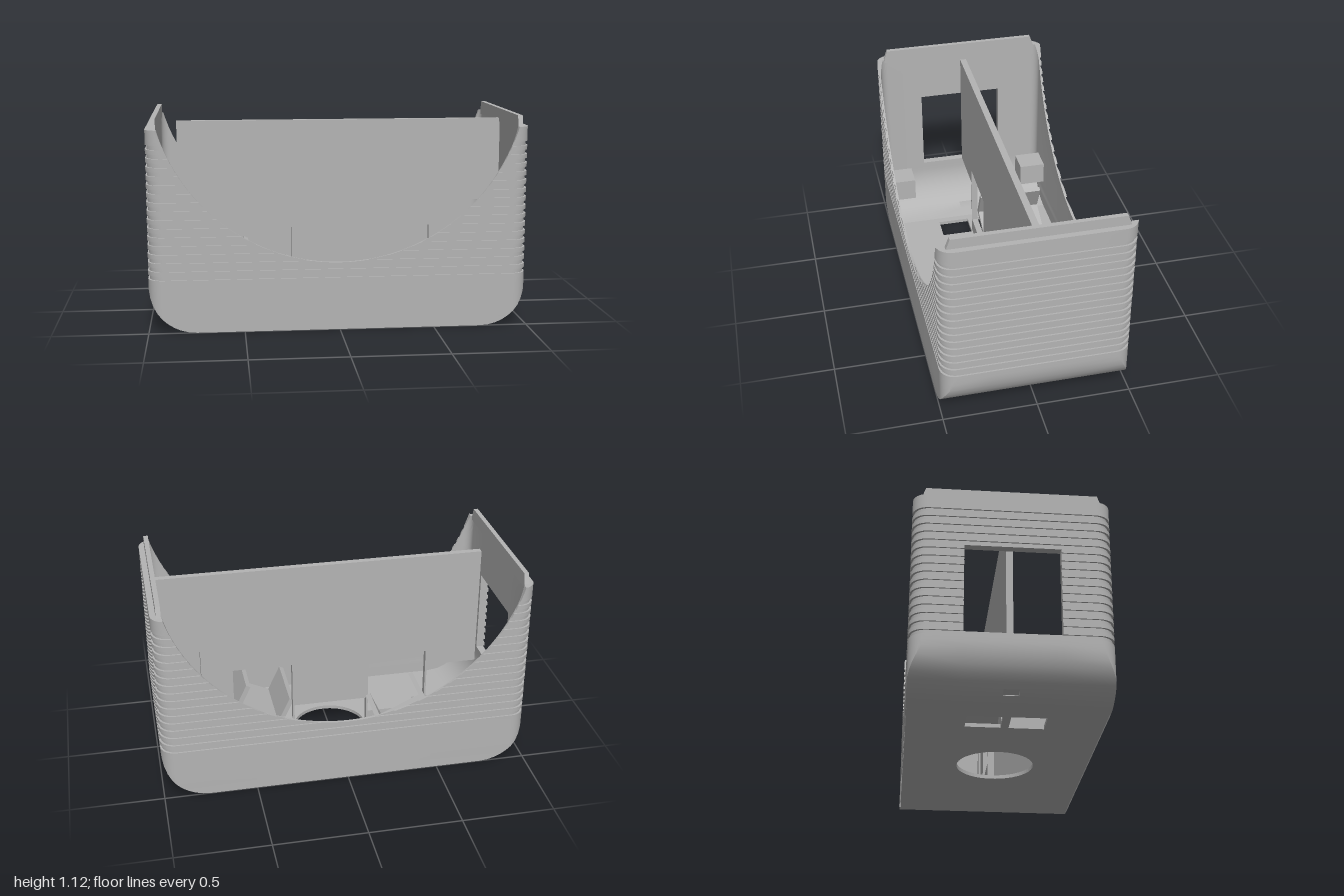
import * as THREE from 'three';
import { toCreasedNormals } from 'three/addons/utils/BufferGeometryUtils.js';

const grey = new THREE.MeshStandardMaterial({ color: 0xb4b4b4, side: THREE.DoubleSide });
grey.name = 'grey plastic';

function add(parent, name, geometry) {
  const mesh = new THREE.Mesh(geometry, grey);
  mesh.name = name;
  parent.add(mesh);
  return mesh;
}

const FLOOR = 0.02, RIM = 1.06, ARC_Y = 1.34, ARC_R = 0.98;
const arcX = y => (y <= ARC_Y - ARC_R ? 0 : Math.sqrt(ARC_R ** 2 - (ARC_Y - y) ** 2));

// Heights of the wall sections, each with its groove depth
function wallLevels() {
  const levels = [];
  for (const y of [0, 0.004, 0.015, 0.03, 0.05, 0.075, 0.105, 0.14, 0.18, 0.22, 0.25]) levels.push([y, 0]);
  const pitch = 0.0453, dips = [0.36, 0.3606, 0.362, 0.365, 0.37, 0.377, 0.385, 0.395];
  for (let k = 0; k < 16; k++) {
    const y0 = 0.28 + k * pitch, y1 = y0 + pitch / 2, y2 = y0 + pitch;
    const between = (a, b) => dips.filter(y => y > a && y < b);
    levels.push([y0, 0], [y0, 0.008]);
    between(y0, y1).forEach(y => levels.push([y, 0.008]));
    levels.push([y1, 0.008], [y1, 0]);
    between(y1, y2).forEach(y => levels.push([y, 0]));
  }
  levels.push([1.005, 0], [1.035, 0], [RIM, 0]);
  return levels;
}

// Half outline at one height: front arc edge, corner, side, corner, back arc edge
const SIDE_Z = [0.24, 0.04, -0.04, -0.24];
function section(y, sideX, halfZ, corner, bendR, bendY) {
  const dy = Math.max(0, bendY - y);
  const hx = sideX - bendR + Math.sqrt(Math.max(0, bendR ** 2 - dy ** 2));
  const c = sideX - corner, a = Math.min(arcX(y), hx);
  const zAt = x => halfZ - corner + Math.sqrt(Math.max(0, corner ** 2 - Math.max(0, x - c) ** 2));
  const xs = [a, Math.min(hx, Math.max(a, c))];
  const t0 = a > c ? Math.asin(Math.min(1, (a - c) / corner)) : 0;
  for (let i = 1; i <= 8; i++) {
    const t = t0 + (Math.PI / 2 - t0) * i / 8;
    xs.push(Math.min(hx, c + corner * Math.sin(t)));
  }
  const front = xs.map(x => [x, y, zAt(x)]);
  const back = front.map(([x, h, z]) => [x, h, -z]).reverse();
  return [...front, ...SIDE_Z.map(z => [hx, y, z]), ...back];
}

// One half of the shell, with openings cut through its side
function wallHalf(sign, hasWindow) {
  const levels = wallLevels();
  const outer = levels.map(([y, d]) => section(y, 1 - d, 0.5 - d, 0.08, 0.25, 0.25));
  const inner = levels.map(([y]) => section(Math.max(y, FLOOR), 0.95, 0.485, 0.05, 0.23, 0.25));
  const pos = [];
  const quad = (a, b, c, d) => [a, b, c, a, c, d].forEach(p => pos.push(sign * p[0], p[1], p[2]));
  const cols = outer[0].length - 1, rows = levels.length - 1;
  const hole = (i, j) => {
    if (i < 0 || i >= rows) return false;
    const y = (levels[i][0] + levels[i + 1][0]) / 2;
    const slot = j === 11 && y > 0.03 && y < 0.05;
    return slot || (hasWindow && j >= 10 && j <= 12 && y > 0.301 && y < 0.785);
  };
  for (let i = 0; i < rows; i++) {
    for (let j = 0; j < cols; j++) {
      const o = outer, n = inner, I = i + 1, J = j + 1;
      if (!hole(i, j)) {
        quad(o[i][j], o[i][J], o[I][J], o[I][j]);
        quad(n[i][j], n[I][j], n[I][J], n[i][J]);
        continue;
      }
      if (!hole(i - 1, j)) quad(o[i][j], o[i][J], n[i][J], n[i][j]);
      if (!hole(I, j)) quad(o[I][j], n[I][j], n[I][J], o[I][J]);
      if (!hole(i, j - 1)) quad(o[i][j], n[i][j], n[I][j], o[I][j]);
      if (!hole(i, J)) quad(o[i][J], o[I][J], n[I][J], n[i][J]);
    }
    // Cut edge along the front and back arcs
    if (levels[i + 1][0] > 0.36) {
      quad(outer[i][0], outer[i + 1][0], inner[i + 1][0], inner[i][0]);
      quad(outer[i][cols], inner[i][cols], inner[i + 1][cols], outer[i + 1][cols]);
    }
  }
  for (let j = 0; j < cols; j++) {
    quad(outer[rows][j], outer[rows][j + 1], inner[rows][j + 1], inner[rows][j]);
  }
  const g = new THREE.BufferGeometry();
  g.setAttribute('position', new THREE.Float32BufferAttribute(pos, 3));
  return toCreasedNormals(g, 0.5);
}

const poly = points => new THREE.Shape(points.map(p => new THREE.Vector2(p[0], p[1])));
const rect = (x0, y0, x1, y1) => poly([[x0, y0], [x1, y0], [x1, y1], [x0, y1]]);
const extrude = (shape, depth) =>
  new THREE.ExtrudeGeometry(shape, { depth, bevelEnabled: false, curveSegments: 32 });

export function createModel() {
  const model = new THREE.Group();
  model.name = 'openCase';

  // Ribbed shell; only the right half has the large side window
  add(model, 'leftShell', wallHalf(1, false));
  add(model, 'rightShell', wallHalf(-1, true));

  // Floor with a round hole and a pair of rectangular holes
  const floor = rect(-0.75, -0.495, 0.75, 0.495);
  floor.holes.push(new THREE.Path().absarc(0, 0, 0.207, 0, Math.PI * 2, true));
  floor.holes.push(rect(-0.68, 0.02, -0.54, 0.2), rect(-0.68, -0.2, -0.54, -0.02));
  add(model, 'floor', extrude(floor, FLOOR).rotateX(-Math.PI / 2));

  // Upright divider with its windows
  const divider = poly([[-0.85, RIM], [-0.85, 0.37], [-0.565, 0.37], [-0.565, FLOOR],
    [-0.21, FLOOR], [-0.21, 0.19], [0.21, 0.19], [0.21, FLOOR], [0.72, FLOOR]]);
  divider.absarc(0.72, 0.25, 0.23, -Math.PI / 2, 0, false);
  divider.lineTo(0.95, RIM);
  divider.holes.push(rect(-0.555, 0.1, -0.22, 0.46), rect(0.22, 0.1, 0.555, 0.46));
  divider.holes.push(rect(0.73, 0.12, 0.88, 0.6));
  add(model, 'divider', extrude(divider, 0.035).translate(0, 0, -0.02));

  // Tilted open channels, one on each side of the divider
  const w = 0.3, h = 0.19, t = 0.027;
  const channel = poly([[0, 0], [w, 0], [w, h], [w - t, h], [w - t, t], [t, t], [t, h], [0, h]]);
  for (const s of [-1, 1]) {
    const g = extrude(channel, 0.37).rotateZ(-0.436).translate(-0.56, 0.16, 0.015);
    if (s > 0) g.rotateY(0).translate(0, 0, -0.405);
    const mesh = add(model, s > 0 ? 'backChannel' : 'frontChannel', g);
    mesh.scale.x = s;
  }

  for (const s of [-1, 1]) {
    // Tapered locating lip on top of each side
    const lip = poly([[-0.455, 1.04], [0.455, 1.04], [0.455, RIM], [0.435, 1.115], [-0.435, 1.115], [-0.455, RIM]]);
    add(model, s > 0 ? 'leftLip' : 'rightLip',
      extrude(lip, 0.025).rotateY(Math.PI / 2).translate(s * 0.957 - 0.0125, 0, 0));
    // Corner blocks beside the window
    add(model, s > 0 ? 'frontBlock' : 'backBlock',
      new THREE.BoxGeometry(0.14, 0.13, 0.155).translate(-0.8, 0.26, s * 0.412));
  }
  return model;
}
